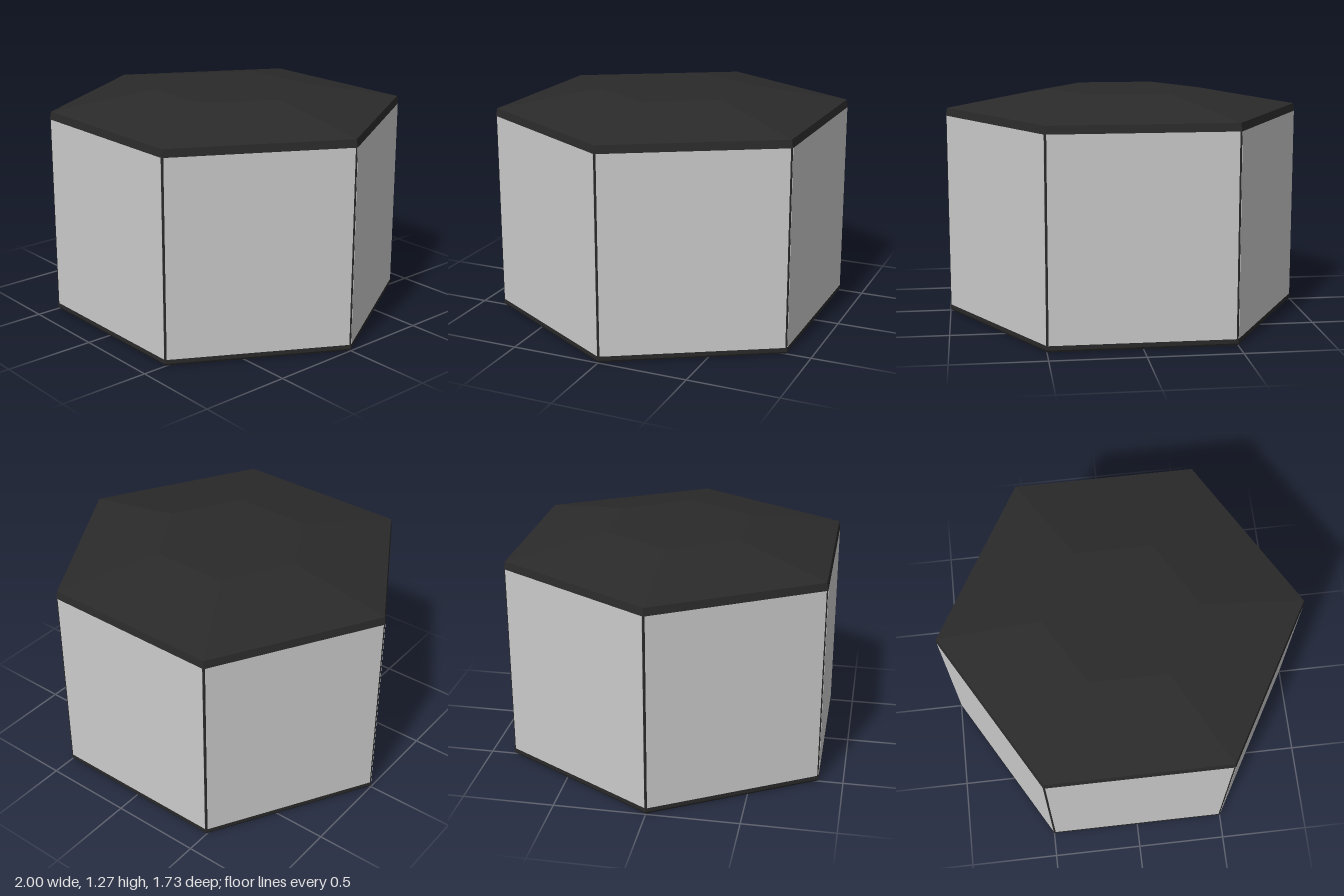
import * as THREE from 'three';

const dark = new THREE.MeshStandardMaterial({ color: 0x2a2a2a, flatShading: true });
const grey = new THREE.MeshStandardMaterial({ color: 0xcccccc, flatShading: true });
const APOTHEM = Math.cos(Math.PI / 6);

// Six-sided frustum with corners on the x axis
function hexPart(name, rTop, rBottom, y0, y1, open = false) {
  const geometry = new THREE.CylinderGeometry(rTop, rBottom, y1 - y0, 6, 1, open, Math.PI / 6);
  const mesh = new THREE.Mesh(geometry, dark);
  mesh.position.y = (y0 + y1) / 2;
  mesh.name = name;
  return mesh;
}

export function createModel() {
  const model = new THREE.Group();
  model.name = 'hexagonalBox';

  // Base plate with a slight chamfer below
  model.add(hexPart('baseChamfer', 1, 0.992, 0, 0.012));
  model.add(hexPart('basePlate', 1, 1, 0.012, 0.035));

  // Dark core that shows as the corner posts between the panels
  model.add(hexPart('cornerFrame', 0.998, 0.998, 0.035, 1.127, true));

  // Six wall panels
  const panels = new THREE.Group();
  panels.name = 'wallPanels';
  const y0 = 0.035, y1 = 1.127, depth = 0.01;
  for (let i = 0; i < 6; i++) {
    const panel = new THREE.Mesh(new THREE.BoxGeometry(0.982, y1 - y0, depth), grey);
    const r = APOTHEM - depth / 2;
    const angle = (i * Math.PI) / 3;
    panel.position.set(Math.sin(angle) * r, (y0 + y1) / 2, Math.cos(angle) * r);
    panel.rotation.y = angle;
    panel.name = 'wallPanel' + (i + 1);
    panels.add(panel);
  }
  model.add(panels);

  // Lid: tapered rim, then a shallow slope to a flat top
  model.add(hexPart('lidRim', 0.992, 1, 1.127, 1.17));
  model.add(hexPart('lidSlope', 0.425, 0.992, 1.17, 1.27));

  return model;
}
